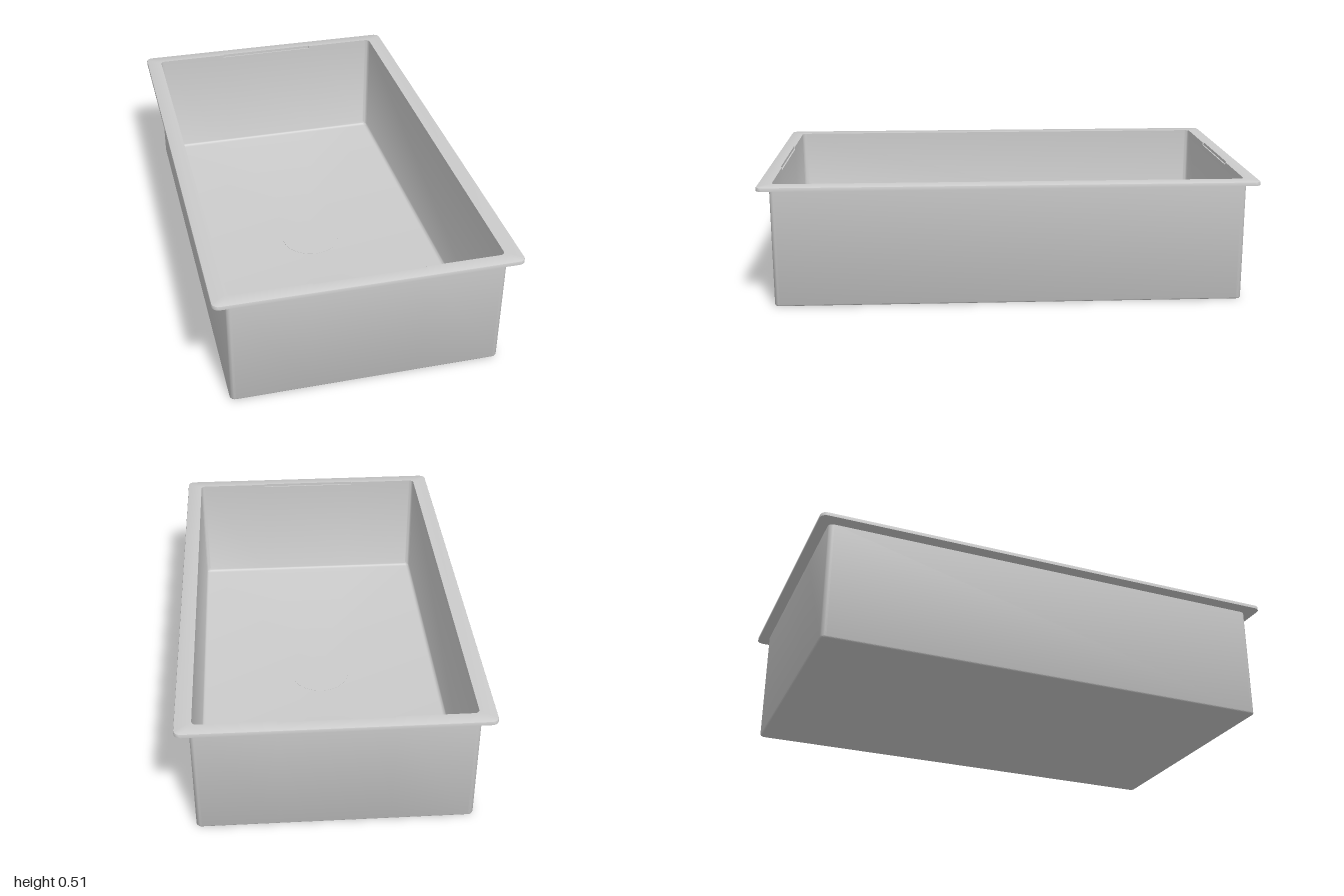
import * as THREE from 'three';
import { toCreasedNormals } from 'three/addons/utils/BufferGeometryUtils.js';

const SLOT = 0.22; // half length of the shallow end notches
const STEPS = 6;   // segments per rounded corner

// Rounded rectangle at height y, with an optional notch of depth n in both ends
function ring([hx, hz, r, y, n = 0]) {
  const pts = [];
  const s = Math.min(SLOT, hx);
  const corner = (sx, sz, start) => {
    for (let i = 0; i <= STEPS; i++) {
      const a = start + (i / STEPS) * Math.PI / 2;
      pts.push([sx * (hx - r) + r * Math.cos(a), y, sz * (hz - r) + r * Math.sin(a)]);
    }
  };
  const notch = (d) => pts.push(
    [d * s, y, d * hz], [d * s, y, d * (hz + n)], [-d * s, y, d * (hz + n)], [-d * s, y, d * hz]);
  corner(1, 1, 0);
  notch(1);
  corner(-1, 1, Math.PI / 2);
  corner(-1, -1, Math.PI);
  notch(-1);
  corner(1, -1, Math.PI * 1.5);
  return pts;
}

// Skin over a list of rings
function loft(sections) {
  const rings = sections.map(ring);
  const count = rings[0].length;
  const index = [];
  for (let i = 0; i < rings.length - 1; i++) {
    for (let j = 0; j < count; j++) {
      const k = (j + 1) % count;
      const a = i * count + j, b = i * count + k;
      const c = a + count, d = b + count;
      index.push(a, b, c, b, d, c);
    }
  }
  const geo = new THREE.BufferGeometry();
  geo.setAttribute('position', new THREE.Float32BufferAttribute(rings.flat(2), 3));
  geo.setIndex(index);
  return toCreasedNormals(geo, 0.6);
}

// Quarter-round between floor and wall for a wall at hx, hz, floor at y
function fillet(hx, hz, cornerR, y, f) {
  const out = [];
  for (let i = 0; i <= 4; i++) {
    const a = (i / 4) * Math.PI / 2;
    const inset = f * (1 - Math.sin(a));
    out.push([hx - inset, hz - inset, Math.max(cornerR - inset, 0.001), y + f * (1 - Math.cos(a))]);
  }
  return out;
}

export function createModel() {
  const group = new THREE.Group();
  const material = new THREE.MeshStandardMaterial({ color: 0xcccccc });
  const add = (name, geo) => {
    const mesh = new THREE.Mesh(geo, material);
    mesh.name = name;
    group.add(mesh);
    return mesh;
  };

  const top = 0.507, under = 0.491, floor = 0.01;

  // Basin and rim as one continuous thin shell, from inner floor to underside
  add('basin', loft([
    [0, 0, 0, floor],
    ...fillet(0.535, 0.945, 0.02, floor, 0.017),
    [0.535, 0.945, 0.02, 0.495],
    [0.535, 0.945, 0.02, 0.495, 0.006],
    [0.535, 0.945, 0.02, top, 0.006],
    // rim
    [0.596, 0.996, 0.024, top],
    [0.599, 0.999, 0.027, top - 0.0015],
    [0.6, 1, 0.028, top - 0.004],
    [0.6, 1, 0.028, under],
    [0.546, 0.956, 0.022, under],
    // outer walls and underside
    ...fillet(0.546, 0.956, 0.022, 0, 0.008).reverse(),
    [0, 0, 0, 0],
  ]));

  // Drain cover, almost flush with the floor
  const drain = add('drainCover', new THREE.CylinderGeometry(0.127, 0.127, 0.004, 64));
  drain.position.y = floor - 0.001;

  return group;
}
